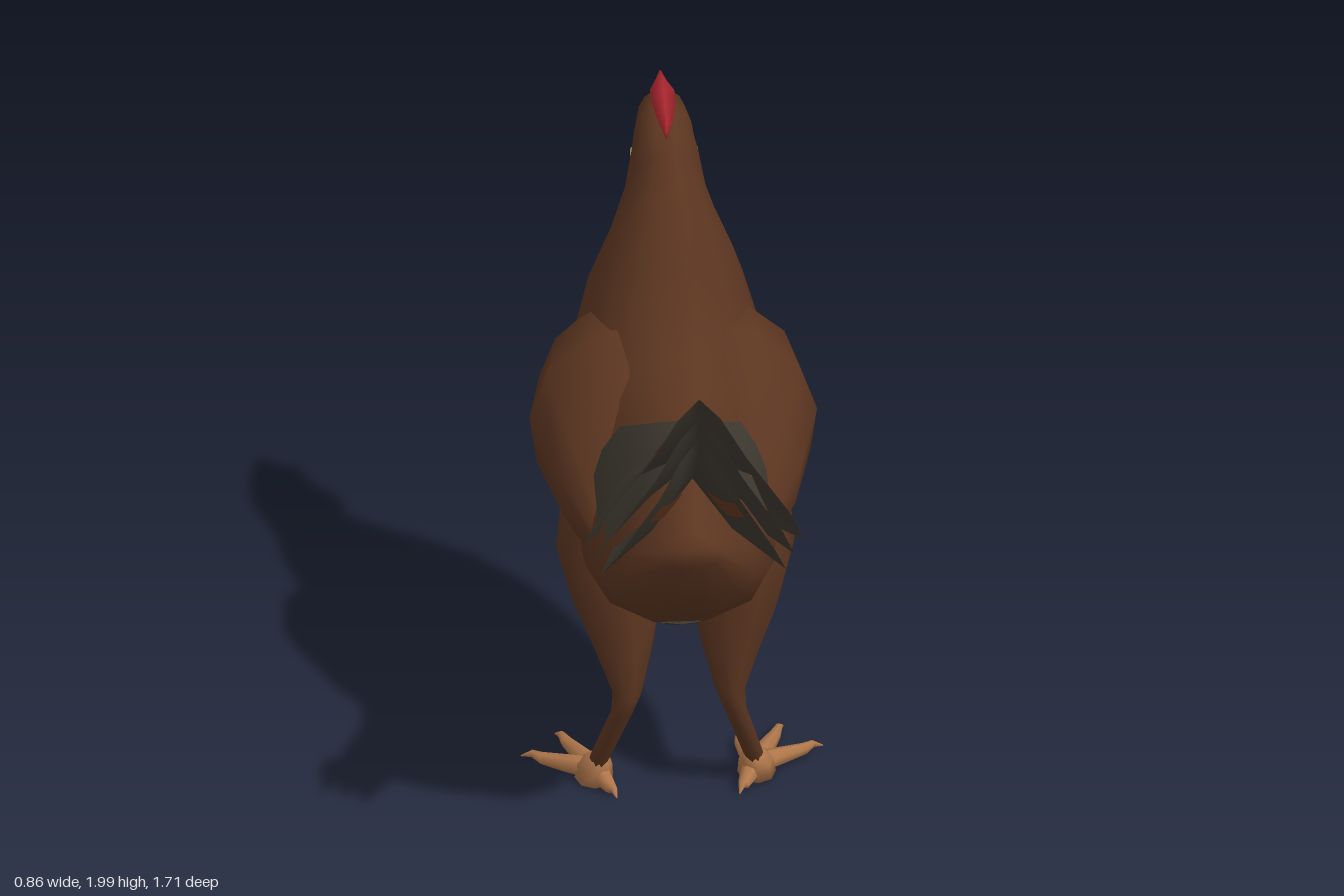
import * as THREE from 'three';

const mat = (name, color, side = THREE.FrontSide) => {
  const m = new THREE.MeshStandardMaterial({ color, side });
  m.name = name;
  return m;
};
const V = (x, y, z) => new THREE.Vector3(x, y, z);

// Closed skin over cross-section loops, with the faces turned outward
function loft(rings) {
  const n = rings[0].length, pts = rings.flat(), idx = [];
  for (let r = 0; r < rings.length - 1; r++)
    for (let i = 0; i < n; i++) {
      const a = r * n + i, b = r * n + (i + 1) % n;
      idx.push(a, b, a + n, b, b + n, a + n);
    }
  [0, rings.length - 1].forEach((r, end) => {
    const c = pts.length;
    pts.push(rings[r].reduce((s, p) => s.add(p), V(0, 0, 0)).divideScalar(n));
    for (let i = 0; i < n; i++) {
      const a = r * n + i, b = r * n + (i + 1) % n;
      end ? idx.push(a, b, c) : idx.push(b, a, c);
    }
  });
  let volume = 0;
  for (let i = 0; i < idx.length; i += 3)
    volume += pts[idx[i]].dot(pts[idx[i + 1]].clone().cross(pts[idx[i + 2]]));
  if (volume < 0) idx.reverse();
  const g = new THREE.BufferGeometry().setFromPoints(pts);
  g.setIndex(idx);
  g.computeVertexNormals();
  return g;
}

const around = (n, fn) => Array.from({ length: n }, (_, i) => fn(Math.cos(i / n * 2 * Math.PI), Math.sin(i / n * 2 * Math.PI)));

// Upright loop: top and bottom in (z, y), half width, narrowing toward the top, squareness
const slice = ([tz, ty, bz, by, w, pinch = 0.15, power = 1], n = 14) => around(n, (c, s) =>
  V(w * Math.sign(c) * Math.abs(c) ** power * (1 - pinch * s), (ty + by) / 2 + (ty - by) / 2 * s, (tz + bz) / 2 + (tz - bz) / 2 * s));

// Tapered limb along points [x, y, z, radius]
function limb(points, n = 7) {
  const p = points.map(q => V(q[0], q[1], q[2]));
  const dir = p[p.length - 1].clone().sub(p[0]).normalize();
  const u = V(0, 1, 0).cross(dir).normalize(), v = dir.clone().cross(u);
  return loft(points.map((q, i) => around(n, (c, s) =>
    p[i].clone().addScaledVector(u, q[3] * c).addScaledVector(v, q[3] * s))));
}

// Open sheet over rows of points
function sheet(rows) {
  const n = rows[0].length, idx = [];
  for (let r = 0; r < rows.length - 1; r++)
    for (let i = 0; i < n - 1; i++) {
      const a = r * n + i;
      idx.push(a, a + n, a + 1, a + 1, a + n, a + n + 1);
    }
  const g = new THREE.BufferGeometry().setFromPoints(rows.flat());
  g.setIndex(idx);
  g.computeVertexNormals();
  return g;
}

export function createModel() {
  const model = new THREE.Group();
  model.name = 'hen';
  const brown = mat('brown plumage', 0x5b3520);
  const dark = mat('dark tail', 0x3e3930, THREE.DoubleSide);
  const rust = mat('rust streak', 0x62361e, THREE.DoubleSide);
  const red = mat('red comb', 0xa8262e);
  const tan = mat('tan beak and feet', 0xb0774b);
  const cream = mat('cream eye', 0xc9a77c);
  const black = mat('black pupil', 0x15110f);
  const add = (name, geometry, material, parent = model) => {
    const m = new THREE.Mesh(geometry, material);
    m.name = name;
    parent.add(m);
    return m;
  };

  // Body, neck and head in one skin, from rump to brow
  add('body', loft([
    [0.51, 1.18, 0.54, 1.08, 0.08, 0.4], [0.42, 1.24, 0.43, 0.9, 0.17, 0.45], [0.25, 1.31, 0.3, 0.77, 0.22, 0.45],
    [0.05, 1.33, 0.07, 0.63, 0.27, 0.25], [-0.12, 1.4, -0.3, 0.585, 0.31, 0.1], [-0.22, 1.5, -0.55, 0.77, 0.305, 0.1],
    [-0.28, 1.6, -0.67, 0.95, 0.27], [-0.36, 1.73, -0.72, 1.13, 0.22, 0.15], [-0.43, 1.81, -0.7, 1.3, 0.16, 0.15],
    [-0.47, 1.86, -0.65, 1.55, 0.115], [-0.52, 1.905, -0.63, 1.71, 0.096, 0.1, 0.8], [-0.6, 1.945, -0.66, 1.72, 0.086, 0.05, 0.7],
    [-0.7, 1.94, -0.72, 1.74, 0.072, 0.05, 0.7], [-0.765, 1.88, -0.765, 1.78, 0.047], [-0.81, 1.824, -0.81, 1.805, 0.02]
  ].map(q => slice(q))), brown);

  // Dark down along the belly midline
  add('ventPatch', sheet([[0.14, 0.675, 0.045], [0.07, 0.633, 0.055], [-0.1, 0.611, 0.05], [-0.28, 0.59, 0.02]]
    .map(([z, y, w]) => [V(-w, y, z), V(0, y - 0.006, z), V(w, y, z)])), dark);

  // Comb: z, crest height, root height, half width
  add('comb', loft([[-0.51, 1.93, 1.91, 0.006], [-0.54, 1.97, 1.92, 0.018], [-0.57, 1.962, 1.93, 0.025],
    [-0.6, 1.985, 1.943, 0.031], [-0.635, 1.98, 1.948, 0.035], [-0.68, 2, 1.946, 0.035], [-0.697, 1.978, 1.943, 0.034],
    [-0.745, 1.98, 1.92, 0.029], [-0.752, 1.957, 1.91, 0.027], [-0.787, 1.957, 1.875, 0.019], [-0.797, 1.9, 1.845, 0.009]]
    .map(([z, top, root, w]) => [V(w, root, z), V(0, top, z), V(-w, root, z), V(0, root - 0.015, z + 0.015)])), red);

  // Beak
  add('beak', loft([[-0.73, 1.83, -0.73, 1.768, 0.042], [-0.8, 1.818, -0.79, 1.772, 0.027],
    [-0.835, 1.8, -0.825, 1.768, 0.014], [-0.855, 1.76, -0.85, 1.752, 0.002]].map(q => slice(q, 8))), tan);

  for (const s of [1, -1]) {
    const side = new THREE.Group();
    side.name = s > 0 ? 'leftSide' : 'rightSide';
    model.add(side);

    // Folded wing leaning into the back: top and bottom in (z, y), half width, centre x
    add('wing', loft([[-0.5, 1.38, -0.51, 1.18, 0.03, 0.2], [-0.37, 1.44, -0.38, 0.98, 0.13, 0.24],
      [-0.24, 1.43, -0.22, 0.87, 0.155, 0.255], [-0.06, 1.29, 0, 0.86, 0.12, 0.23],
      [0.1, 1.08, 0.16, 0.9, 0.05, 0.205]].map(([tz, ty, bz, by, w, cx]) =>
      slice([tz, ty, bz, by, w, 0], 12).map((p, i) =>
        p.setX(s * (p.x + cx - 0.8 * w * Math.max(0, Math.sin(i * Math.PI / 6)) ** 2))))), brown, side);

    // Thigh and shank: x, y, z, half width, half depth
    add('leg', loft([[0.17, 1.08, -0.15, 0.09, 0.14], [0.19, 0.93, -0.15, 0.135, 0.2], [0.195, 0.78, -0.135, 0.145, 0.21],
      [0.17, 0.62, -0.11, 0.127, 0.18], [0.155, 0.5, -0.067, 0.088, 0.13], [0.147, 0.38, 0.005, 0.043, 0.055],
      [0.16, 0.31, -0.005, 0.032, 0.038], [0.225, 0.08, -0.115, 0.028, 0.038]].map(([x, y, z, rx, rz]) =>
      around(10, (c, t) => V(s * (x + rx * c), y, z + rz * t)))), brown, side);

    // Foot with three front toes and one hind toe, each ending in a claw
    add('instep', loft([[0.222, 0.1, -0.112, 0.033, 0.042], [0.23, 0.06, -0.14, 0.05, 0.065],
      [0.232, 0.015, -0.145, 0.055, 0.07]].map(([x, y, z, rx, rz]) =>
      around(8, (c, t) => V(s * (x + rx * c), y, z + rz * t)))), tan, side);
    for (const [x, z] of [[0.43, -0.28], [0.325, -0.4], [0.185, -0.34], [0.175, -0.02]]) {
      const at = (t, y, r) => [s * THREE.MathUtils.lerp(0.225, x, t), y, THREE.MathUtils.lerp(-0.13, z, t), r];
      add('toe', limb([at(0, 0.05, 0.034), at(0.4, 0.037, 0.026), at(0.72, 0.028, 0.018),
        at(0.85, 0.033, 0.011), at(1, 0.014, 0.002)]), tan, side);
    }

    // Wattle below the cheek
    const lobe = new THREE.ExtrudeGeometry(new THREE.Shape([[-0.62, 1.79], [-0.63, 1.68], [-0.68, 1.64], [-0.73, 1.67],
      [-0.737, 1.74], [-0.72, 1.8]].map(([z, y]) => new THREE.Vector2(-z, y))), { depth: 0.02, bevelEnabled: false });
    lobe.rotateY(Math.PI / 2).translate(s * 0.045 - 0.01, 0, 0);
    add('wattle', lobe, brown, side);

    // Eye
    const eye = (name, r, x, m) => {
      const e = add(name, new THREE.SphereGeometry(r, 10, 8), m, side);
      e.scale.x = 0.5;
      e.position.set(s * x, 1.79, -0.61);
    };
    eye('eye', 0.016, 0.09, cream);
    eye('pupil', 0.006, 0.097, black);
  }

  // Tail rows: ridge (y, z), side edge (x, y, z), bulge between them
  const rows = [[1.345, 0.15, 0.245, 1.12, -0.02, 0.05], [1.37, 0.3, 0.25, 1.09, 0.33, 0.05],
    [1.43, 0.48, 0.315, 1.2, 0.6, 0.05], [1.56, 0.66, 0.265, 1.38, 0.76, 0.03],
    [1.68, 0.76, 0.135, 1.61, 0.835, 0.015], [1.81, 0.84, 0.06, 1.75, 0.85, 0]];

  // Three feather layers, each lower, narrower and flatter than the one above
  const layers = [0, 1, 2].map(k => add('tailFeathers', sheet(rows.map(([ry, rz, x, y, z, bulge]) => {
    const b = bulge * (1 - 0.7 * k);
    const at = (px, py, pz) => V(px * (1 - 0.08 * k), py - 0.065 * k * pz / 0.85 - 0.004 * k, pz - 0.004 * k);
    const mid = sx => at(sx * (x / 2 + b), (ry + y) / 2 + b, (rz + z) / 2);
    return [at(-x, y, z), mid(-1), at(0, ry, rz), mid(1), at(x, y, z)];
  })), dark));

  // Rust streaks laid on the upper face of the top layer and the lower face of the bottom layer
  const ray = new THREE.Raycaster();
  for (const s of [1, -1])
    for (const [layer, up] of [[layers[0], 1], [layers[2], -1]])
      add('tailStreak', sheet(Array.from({ length: 9 }, (_, i) => [-0.018, -0.006, 0.006, 0.018].map(w => {
        const x = s * (0.05 + 0.07 * i / 8 + w * 0.86), z = 0.668 + 0.115 * i / 8 - w * 0.5;
        ray.set(V(x, 3 * up, z), V(0, -up, 0));
        const p = ray.intersectObject(layer)[0].point;
        return V(x, p.y + 0.007 * up, z - 0.005 * up);
      }))), rust);

  return model;
}
